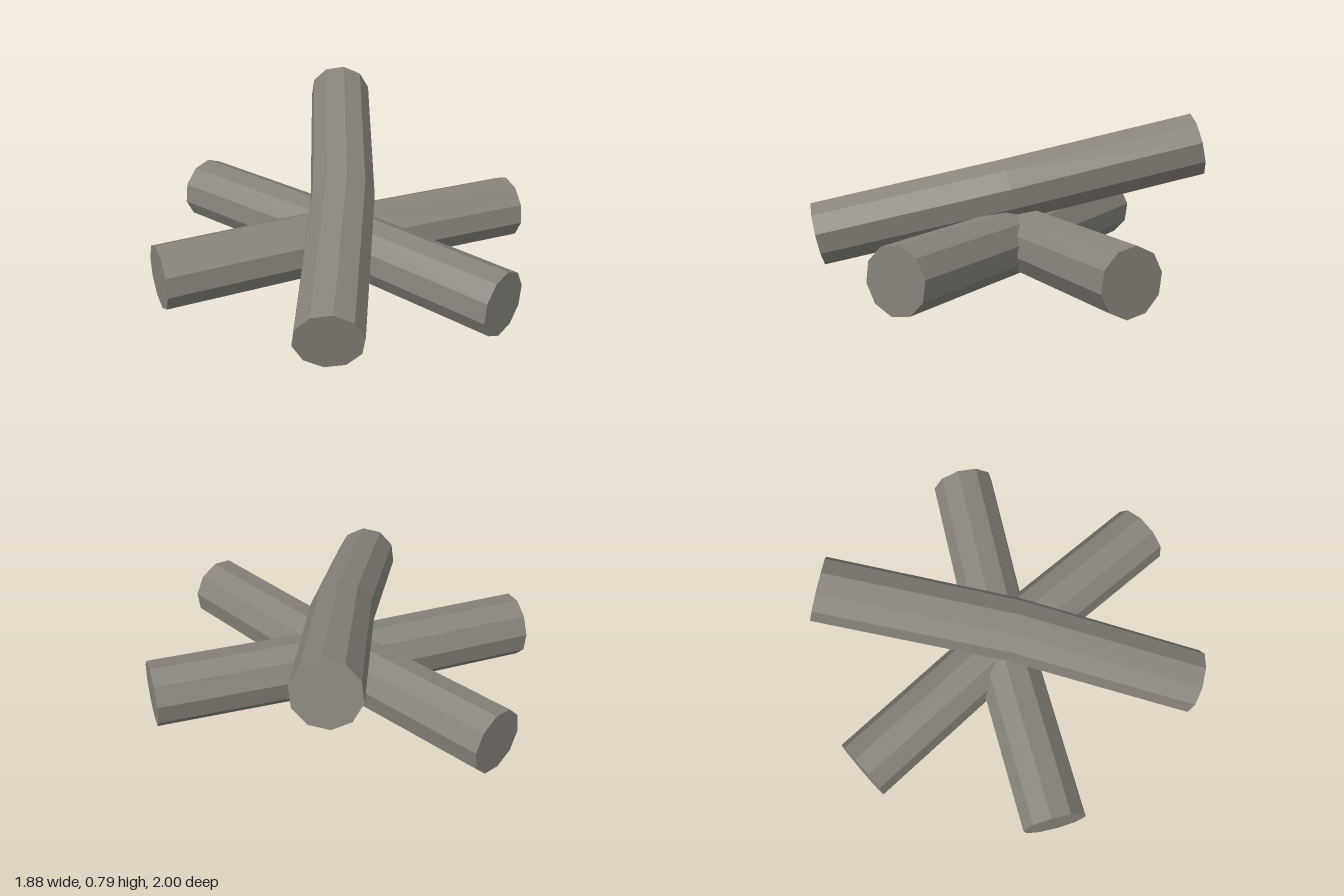
import * as THREE from 'three';

const RADIUS = 0.166;
const SIDES = 10;

// A log from start to end whose middle ring is shifted so the trunk bends slightly at "middle".
function makeLog(name, start, middle, end, rollDegrees, material) {
  const a = new THREE.Vector3(...start);
  const m = new THREE.Vector3(...middle);
  const b = new THREE.Vector3(...end);
  const axis = b.clone().sub(a).normalize();
  const side = new THREE.Vector3().crossVectors(axis, new THREE.Vector3(0, 1, 0)).normalize();
  const up = new THREE.Vector3().crossVectors(side, axis);
  const frame = new THREE.Matrix4().makeBasis(side, axis, up);

  const geometry = new THREE.CylinderGeometry(RADIUS, RADIUS, 2, SIDES, 2);
  geometry.rotateY(THREE.MathUtils.degToRad(rollDegrees));
  const pos = geometry.attributes.position;
  const v = new THREE.Vector3();
  for (let i = 0; i < pos.count; i++) {
    v.fromBufferAttribute(pos, i);
    const centre = v.y < -0.5 ? a : v.y > 0.5 ? b : m;
    v.setY(0).applyMatrix4(frame).add(centre);
    pos.setXYZ(i, v.x, v.y, v.z);
  }
  geometry.computeVertexNormals();
  const mesh = new THREE.Mesh(geometry, material);
  mesh.name = name;
  return mesh;
}

export function createModel() {
  const group = new THREE.Group();
  group.name = 'logPile';
  const wood = new THREE.MeshStandardMaterial({ color: 0x87837b, flatShading: true });
  wood.name = 'greyWood';

  // Two logs crossed flat on the ground
  group.add(makeLog('groundLogA', [-0.825, 0.165, 0.485], [0, 0.165, -0.057], [0.845, 0.165, -0.56], 28, wood));
  group.add(makeLog('groundLogB', [-0.86, 0.165, -0.53], [0, 0.165, -0.057], [0.85, 0.165, 0.47], 28, wood));

  // Third log leaning over the crossing
  group.add(makeLog('leaningLog', [0.098, 0.205, 0.96], [0.012, 0.42, 0], [-0.152, 0.635, -0.96], 8, wood));
  return group;
}
